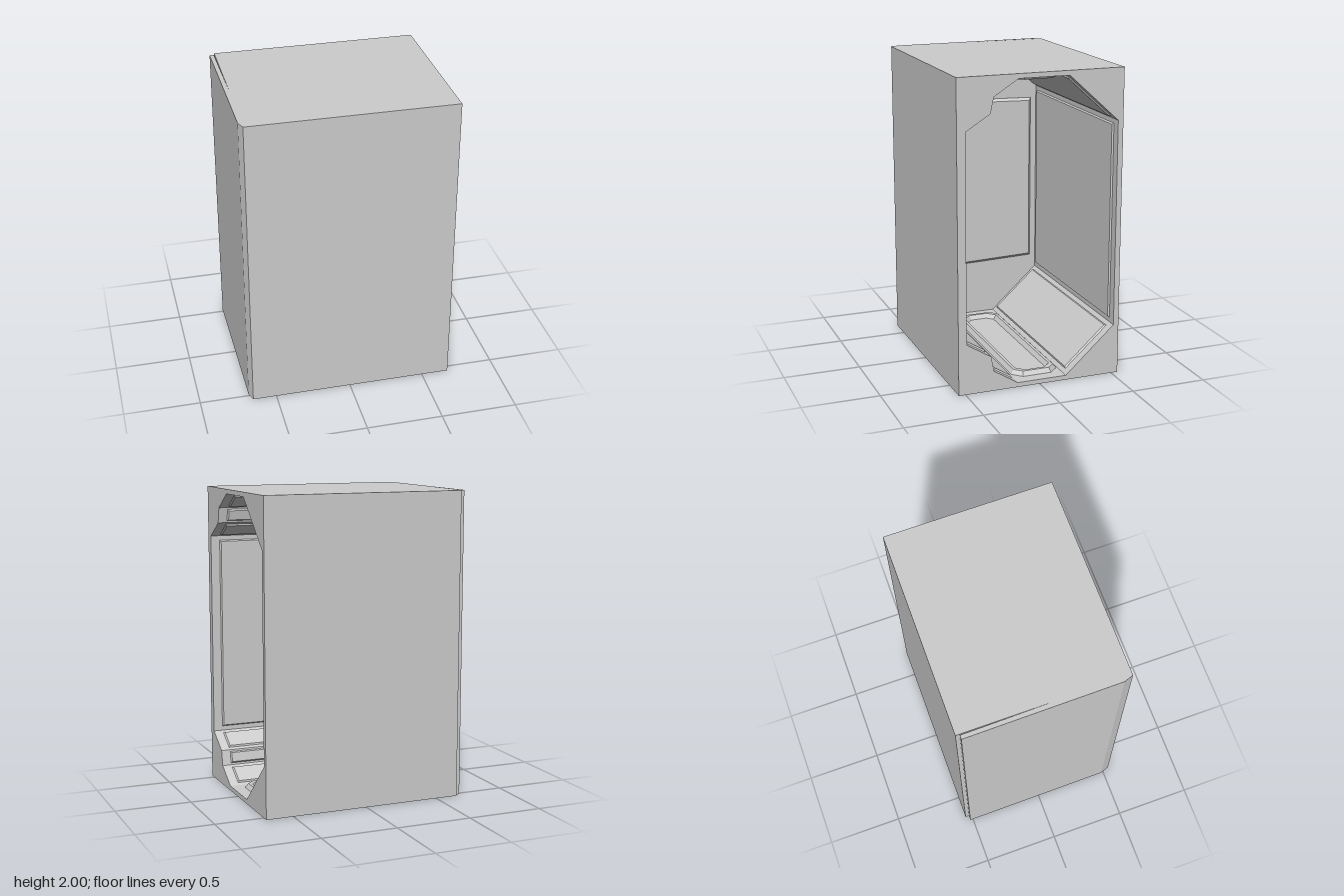
import * as THREE from 'three';

const material = new THREE.MeshStandardMaterial({ color: 0xcccccc, flatShading: true });

const toPoints = (list) => list.map(([a, b]) => new THREE.Vector2(a, b));

function addMesh(parent, name, geometry) {
  const mesh = new THREE.Mesh(geometry, material);
  mesh.name = name;
  parent.add(mesh);
  return mesh;
}

// Raised plate with sloping edges; its base lies on local z = 0
function raisedPlate(outline, height, slope, hole) {
  const shape = new THREE.Shape(toPoints(outline));
  if (hole) shape.holes.push(new THREE.Path(toPoints(hole)));
  const geometry = new THREE.ExtrudeGeometry(shape, {
    depth: 0.002, bevelEnabled: true, bevelSegments: 1,
    bevelThickness: height, bevelSize: slope, bevelOffset: -slope,
  });
  return geometry.translate(0, 0, -0.002);
}

// Rectangle with cut corners
function cutRectangle(x0, x1, y0, y1, c) {
  return [[x0 + c, y0], [x1 - c, y0], [x1, y0 + c], [x1, y1 - c],
    [x1 - c, y1], [x0 + c, y1], [x0, y1 - c], [x0, y0 + c]];
}

export function createModel() {
  const model = new THREE.Group();
  model.name = 'cabinet';
  const bodyX = -0.65, openX = 0.68;

  // Cross-section of the passage as [z, y]: lower half, then its mirror
  const lower = [[0.49, 0.33], [0.33, 0.23], [0.31, 0.13], [0.15, 0.03], [-0.18, 0.03], [-0.51, 0.33]];
  const profile = [...lower, ...lower.map(([z, y]) => [z, 2 - y]).reverse()];

  // Outer casing with the passage cut through it along x
  const casing = new THREE.Shape(toPoints([[-0.545, 0], [0.545, 0], [0.545, 2], [-0.545, 2]]));
  casing.holes.push(new THREE.Path(toPoints(profile.map(([z, y]) => [-z, y]))));
  const casingGeometry = new THREE.ExtrudeGeometry(casing, { depth: openX - bodyX, bevelEnabled: false });
  addMesh(model, 'casing', casingGeometry.rotateY(Math.PI / 2).translate(bodyX, 0, 0));

  // Lining panels on each side of the passage
  const lining = new THREE.Group();
  lining.name = 'lining';
  model.add(lining);
  profile.forEach(([z0, y0], i) => {
    const [z1, y1] = profile[(i + 1) % profile.length];
    const length = Math.hypot(z1 - z0, y1 - y0);
    const along = new THREE.Vector3(0, y1 - y0, z1 - z0).normalize();
    const xAxis = new THREE.Vector3(1, 0, 0);
    const inward = new THREE.Vector3().crossVectors(xAxis, along);
    const isFloorOrCeiling = Math.abs(y1 - y0) < 0.001;
    let geometry, name;
    if (isFloorOrCeiling) {
      // Raised frame with cut corners
      geometry = raisedPlate(cutRectangle(-0.55, 0.6, 0.008, length - 0.008, 0.06), 0.028, 0.02,
        cutRectangle(-0.49, 0.54, 0.068, length - 0.068, 0.04));
      name = y0 < 1 ? 'floorFrame' : 'ceilingFrame';
    } else {
      const margin = Math.min(0.03, length * 0.12);
      geometry = raisedPlate([[-0.62, margin], [0.62, margin], [0.62, length - margin], [-0.62, length - margin]],
        0.01, 0.008);
      name = 'liningPanel';
    }
    const matrix = new THREE.Matrix4().makeBasis(xAxis, along, inward).setPosition(0, y0, z0);
    addMesh(lining, name, geometry.applyMatrix4(matrix));
  });

  // Door closing the far side, slightly ajar at the back, chamfered at the front
  const door = new THREE.Group();
  door.name = 'door';
  model.add(door);
  const section = new THREE.Shape(toPoints([
    [-0.683, 0.52], [-0.676, -0.485], [-0.655, -0.545], [-0.645, -0.545], [-0.656, 0.52],
  ]));
  const leaf = new THREE.ExtrudeGeometry(section, { depth: 2, bevelEnabled: false });
  addMesh(door, 'doorLeaf', leaf.rotateX(-Math.PI / 2));

  // Tapered panel and hexagonal plate on the inside of the door
  const inner = raisedPlate([[-0.445, 0.39], [0.47, 0.42], [0.47, 1.585], [-0.445, 1.61]], 0.02, 0.018);
  addMesh(door, 'doorPanel', inner.rotateY(Math.PI / 2).translate(-0.652, 0, 0));
  const hexagon = raisedPlate([[-0.245, 1], [-0.2, 0.915], [-0.08, 0.92], [-0.04, 1], [-0.08, 1.08], [-0.2, 1.085]],
    0.004, 0.001);
  addMesh(door, 'doorHandlePlate', hexagon.rotateY(Math.PI / 2).translate(-0.632, 0, 0));

  return model;
}
